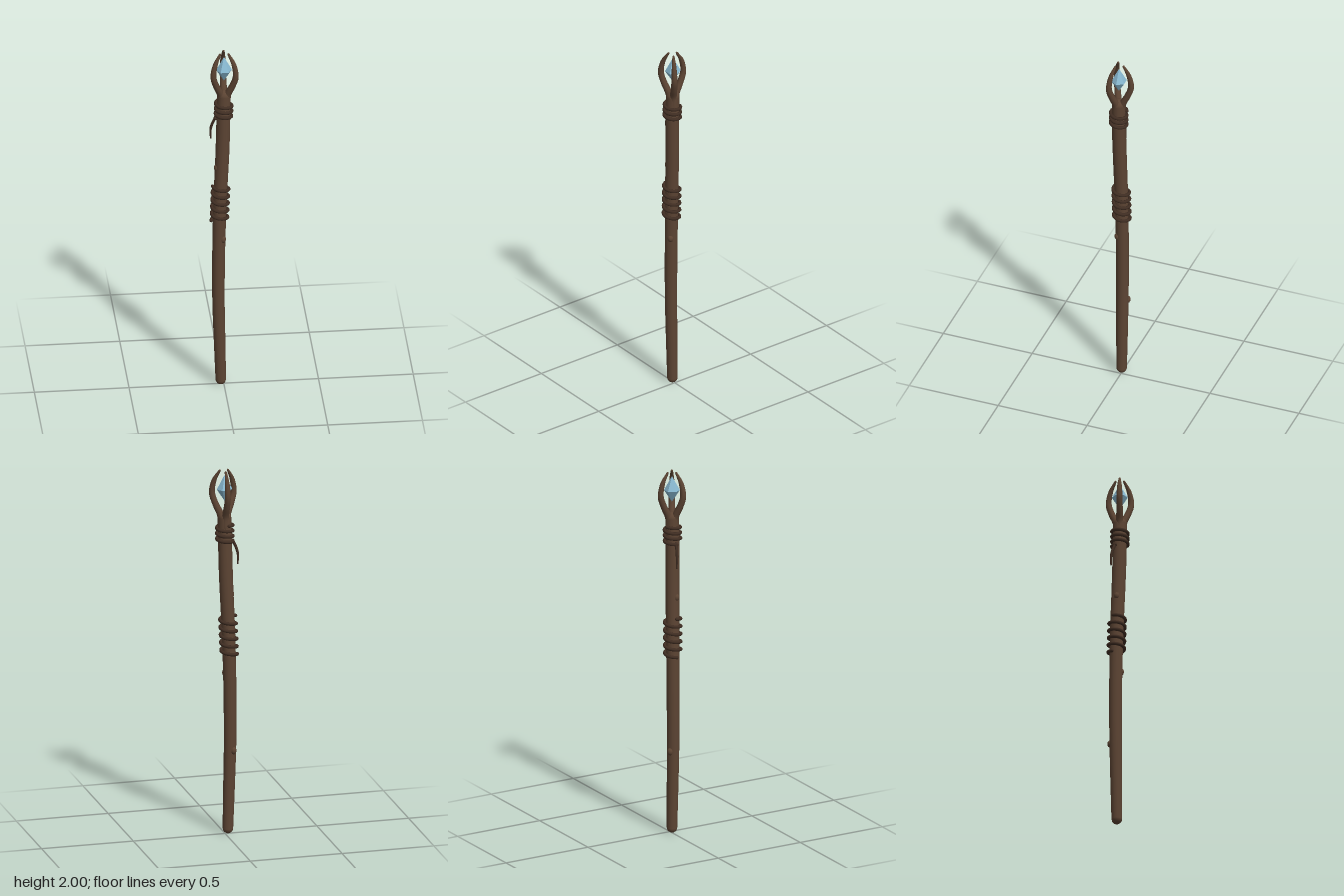
import * as THREE from 'three';

const V = (x, y, z) => new THREE.Vector3(x, y, z);
const wood = new THREE.MeshStandardMaterial({ color: 0x5c4433 });
const cord = new THREE.MeshStandardMaterial({ color: 0x3f2d22 });
const crystal = new THREE.MeshStandardMaterial({ color: 0x88b8d0, flatShading: true });

// Centre line of the slightly bent shaft
const spine = new THREE.CatmullRomCurve3([
  V(-0.016, 0.028, 0.003), V(-0.022, 0.25, 0.003), V(-0.028, 0.5, 0.003), V(-0.027, 0.8, 0.003),
  V(-0.02, 1.1, 0.005), V(-0.008, 1.4, 0.01), V(-0.003, 1.62, 0.014), V(0, 1.74, 0.013),
]);
const spineAt = (y) => spine.getPointAt(THREE.MathUtils.clamp((y - 0.028) / 1.712, 0, 1));

// Tube whose radius is interpolated through a list, with rounded ends
function taperedTube(name, curve, radii, segments, sides, material) {
  const group = new THREE.Group();
  group.name = name;
  const radiusAt = (u) => {
    const f = u * (radii.length - 1);
    const i = Math.min(Math.floor(f), radii.length - 2);
    return THREE.MathUtils.lerp(radii[i], radii[i + 1], f - i);
  };
  const geo = new THREE.TubeGeometry(curve, segments, 1, sides);
  const pos = geo.attributes.position;
  const p = new THREE.Vector3();
  for (let i = 0; i <= segments; i++) {
    const centre = curve.getPointAt(i / segments);
    for (let j = 0; j <= sides; j++) {
      const k = i * (sides + 1) + j;
      p.fromBufferAttribute(pos, k).sub(centre).multiplyScalar(radiusAt(i / segments)).add(centre);
      pos.setXYZ(k, p.x, p.y, p.z);
    }
  }
  group.add(new THREE.Mesh(geo, material));
  for (const u of [0, 1]) {
    const end = new THREE.Mesh(new THREE.SphereGeometry(radiusAt(u), sides, 8), material);
    end.position.copy(curve.getPointAt(u));
    group.add(end);
  }
  group.children.forEach((m) => { m.name = name; });
  return group;
}

// Cord wound around the shaft, rising from the -x side
function binding(name, y0, y1, turns) {
  const points = [];
  const steps = Math.round(turns * 16);
  for (let i = 0; i <= steps; i++) {
    const t = i / steps;
    const a = -Math.PI / 2 + t * turns * Math.PI * 2;
    const y = THREE.MathUtils.lerp(y0, y1, t);
    const c = spineAt(y);
    points.push(V(c.x + 0.043 * Math.sin(a), y, c.z - 0.043 * Math.cos(a)));
  }
  return taperedTube(name, new THREE.CatmullRomCurve3(points), [0.009, 0.009], steps * 2, 8, cord);
}

export function createModel() {
  const model = new THREE.Group();
  model.name = 'staff';

  model.add(taperedTube('shaft', spine, [0.028, 0.031, 0.033, 0.034, 0.035, 0.036, 0.037, 0.036], 48, 14, wood));

  // Knots: height, outward direction
  for (const [y, dx, dz] of [[0.46, -0.45, -0.89], [0.88, 0.7, 0.7], [1.31, -0.95, 0.3]]) {
    const knot = new THREE.Mesh(new THREE.SphereGeometry(0.016, 10, 8), wood);
    knot.name = 'knot';
    const c = spineAt(y);
    knot.position.set(c.x + dx * 0.028, y, c.z + dz * 0.028);
    knot.scale.y = 1.3;
    model.add(knot);
  }

  // Cord bindings and the loose end
  model.add(binding('gripBinding', 0.985, 1.195, 5));
  model.add(binding('neckBinding', 1.605, 1.7, 3.2));
  const loose = new THREE.CatmullRomCurve3([
    V(-0.044, 1.61, 0.012), V(-0.06, 1.575, 0.006), V(-0.07, 1.535, 0.002), V(-0.069, 1.482, 0),
  ]);
  model.add(taperedTube('looseCord', loose, [0.008, 0.007, 0.004], 14, 8, cord));

  // Three claws around the crystal
  const profile = [[0.016, 1.69], [0.021, 1.75], [0.049, 1.81], [0.068, 1.87], [0.056, 1.94], [0.026, 1.994]];
  for (let i = 0; i < 3; i++) {
    const a = Math.PI + (i * Math.PI * 2) / 3;
    const path = new THREE.CatmullRomCurve3(profile.map(([d, y]) => V(d * Math.sin(a), y, 0.012 + d * Math.cos(a))));
    model.add(taperedTube('claw', path, [0.02, 0.019, 0.017, 0.016, 0.013, 0.006], 24, 10, wood));
  }

  // Crystal: a six-sided double pyramid
  const gem = new THREE.Mesh(
    new THREE.LatheGeometry([new THREE.Vector2(0, 1.83), new THREE.Vector2(0.042, 1.895), new THREE.Vector2(0, 1.972)], 6, Math.PI / 2),
    crystal,
  );
  gem.name = 'crystal';
  gem.position.z = 0.012;
  model.add(gem);
  return model;
}
